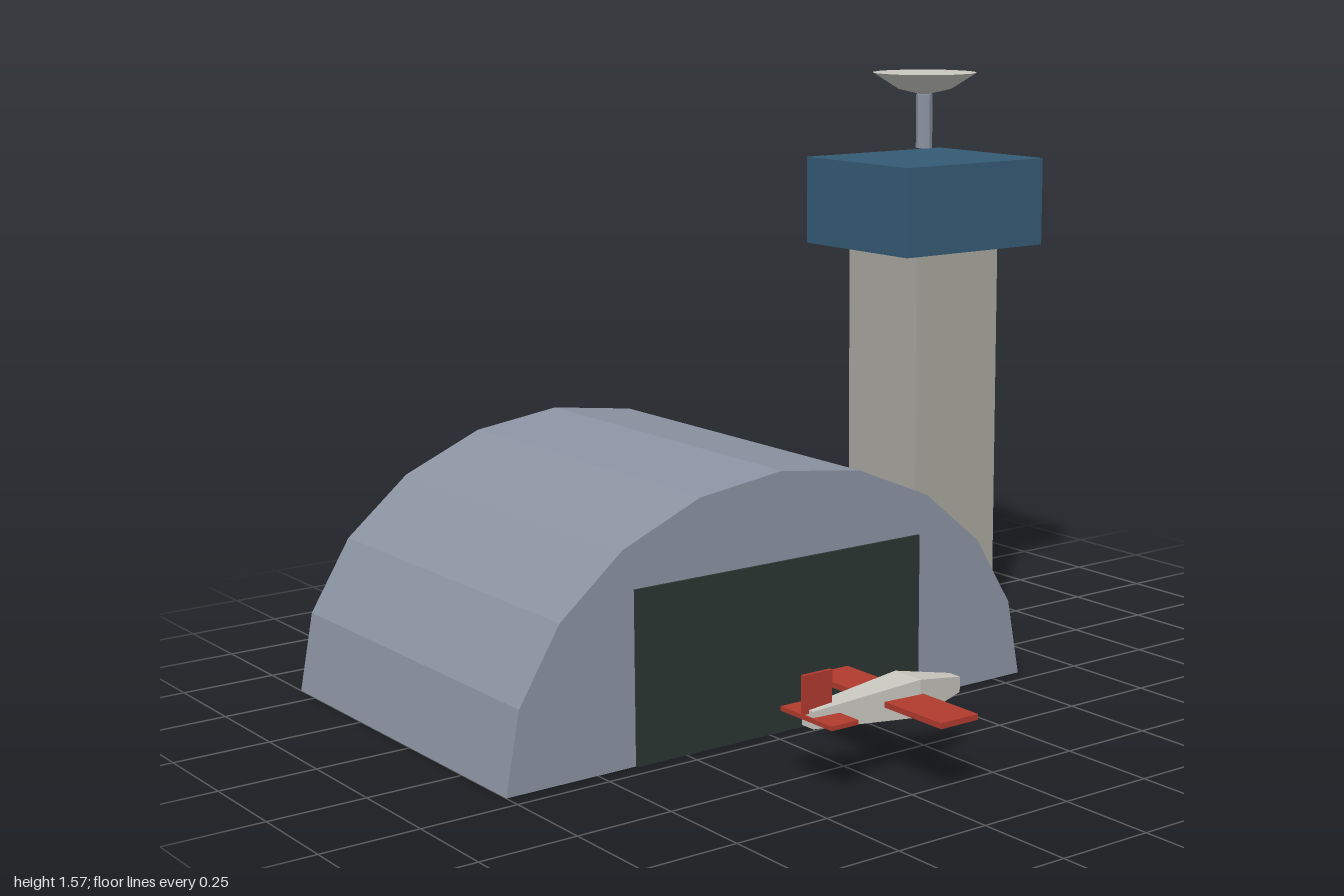
import * as THREE from 'three';

export function createModel() {
  const model = new THREE.Group();
  const mat = (name, color, double) => {
    const m = new THREE.MeshStandardMaterial({ color, flatShading: true });
    m.name = name;
    if (double) m.side = THREE.DoubleSide;
    return m;
  };
  const steel = mat('blue grey steel', 0x8b93a2, true);
  const concrete = mat('concrete', 0xa8a79f);
  const glass = mat('dark blue cab', 0x355b75);
  const dark = mat('dark door', 0x2c3533);
  const white = mat('off white', 0xc9c8c0);
  const red = mat('red', 0xb03a2e);

  const add = (parent, name, geometry, material, x = 0, y = 0, z = 0) => {
    const mesh = new THREE.Mesh(geometry, material);
    mesh.name = name;
    mesh.position.set(x, y, z);
    parent.add(mesh);
    return mesh;
  };
  // Box given by its lower and upper corners
  const box = (parent, name, material, [x0, y0, z0], [x1, y1, z1]) =>
    add(parent, name, new THREE.BoxGeometry(x1 - x0, y1 - y0, z1 - z0), material,
      (x0 + x1) / 2, (y0 + y1) / 2, (z0 + z1) / 2);
  const group = (name) => {
    const g = new THREE.Group();
    g.name = name;
    model.add(g);
    return g;
  };

  // Hangar: hollow half-cylinder vault, flattened, with two end walls and no floor
  const hangar = group('hangar');
  const R = 0.795, H = 0.66, zFront = 0.2, zBack = -0.83, cx = -0.205;
  const vault = new THREE.CylinderGeometry(R, R, zFront - zBack, 10, 1, true, Math.PI / 2, Math.PI);
  vault.rotateX(Math.PI / 2).scale(1, H / R, 1);
  add(hangar, 'vault', vault, steel, cx, 0, (zFront + zBack) / 2);
  const wall = new THREE.CircleGeometry(R, 10, 0, Math.PI).scale(1, H / R, 1);
  add(hangar, 'frontWall', wall, steel, cx, 0, zFront);
  add(hangar, 'backWall', wall.clone().rotateY(Math.PI), steel, cx, 0, zBack);
  box(hangar, 'door', dark, [-0.643, 0, 0.201], [0.232, 0.435, 0.208]);

  // Control tower with cab, mast and dish
  const tower = group('controlTower');
  box(tower, 'shaft', concrete, [0.602, 0, -0.537], [0.898, 1.085, -0.243]);
  box(tower, 'cab', glass, [0.505, 1.085, -0.61], [1, 1.328, -0.172]);
  add(tower, 'mast', new THREE.CylinderGeometry(0.023, 0.023, 0.15, 8), steel, 0.75, 1.43, -0.391);
  const dishProfile = [[0, 1.502], [0.075, 1.52], [0.146, 1.565], [0, 1.565]]
    .map(([r, y]) => new THREE.Vector2(r, y));
  add(tower, 'dish', new THREE.LatheGeometry(dishProfile, 16), white, 0.75, 0, -0.391);

  // Small aeroplane, nose towards +x
  const plane = group('aeroplane');
  const stations = [[-0.43, 0.021], [-0.13, 0.046], [0.018, 0.019]];
  const body = new THREE.BoxGeometry(2, 2, 2, 2, 1, 1);
  const p = body.attributes.position;
  for (let i = 0; i < p.count; i++) {
    const [x, half] = stations[Math.round(p.getX(i)) + 1];
    p.setXYZ(i, x, p.getY(i) * half, p.getZ(i) * half);
  }
  body.computeVertexNormals();
  add(plane, 'fuselage', body, white, 0, 0.178, 0.59);
  box(plane, 'wing', red, [-0.232, 0.174, 0.352], [-0.12, 0.188, 0.828]);
  box(plane, 'tailplane', red, [-0.435, 0.173, 0.495], [-0.357, 0.184, 0.685]);
  box(plane, 'fin', red, [-0.445, 0.19, 0.585], [-0.362, 0.283, 0.595]);

  return model;
}
